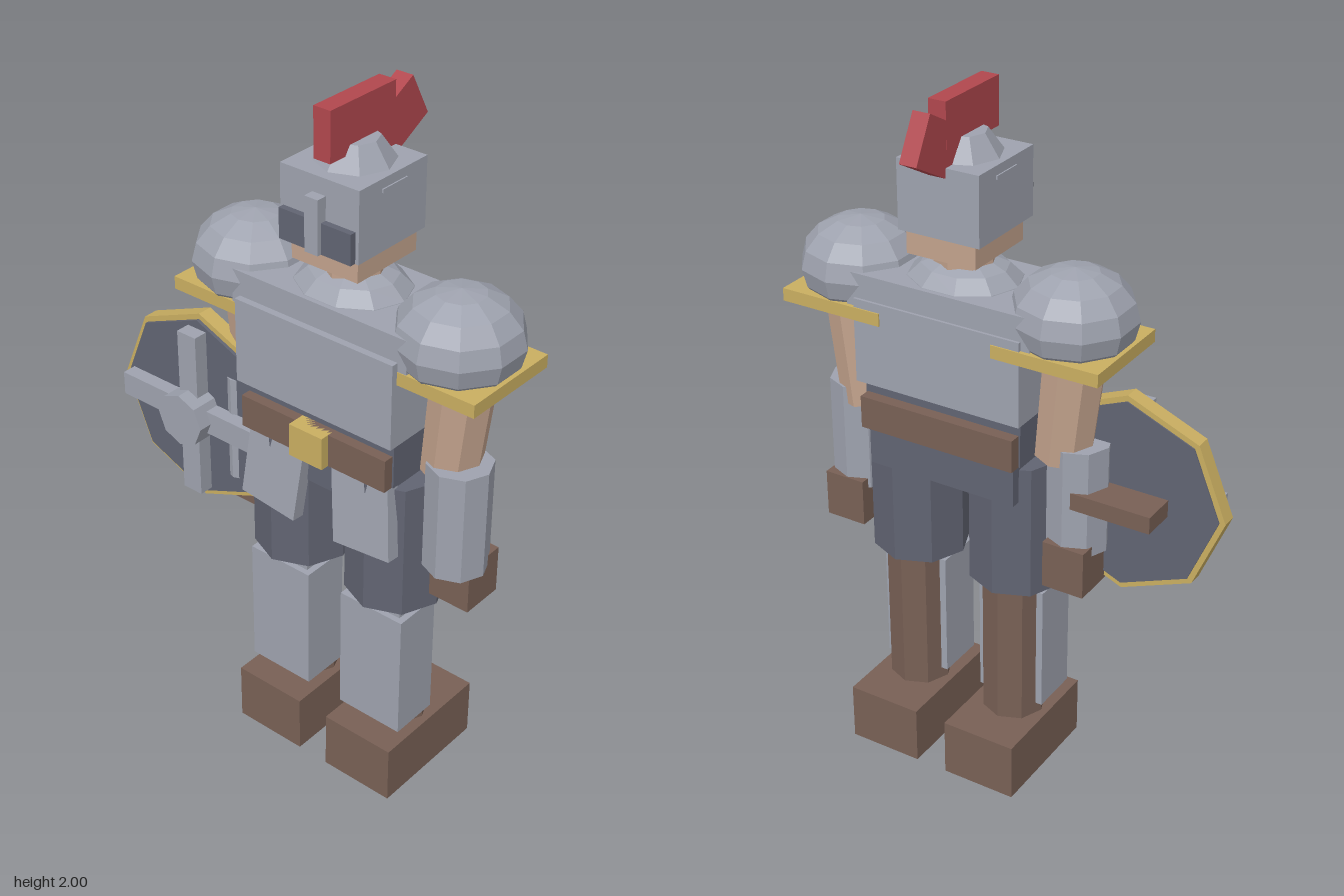
import * as THREE from 'three';

const CX = 0.134; // body axis
const mat = (color) => new THREE.MeshStandardMaterial({ color, flatShading: true });

export function createModel() {
  const root = new THREE.Group();
  const steel = mat(0x9ea2ae), dark = mat(0x616472), brown = mat(0x786055);
  const skin = mat(0xc2a28c), gold = mat(0xc9ae61), red = mat(0xb1474e);

  const add = (name, geometry, material, x, y, z, parent = root) => {
    const mesh = new THREE.Mesh(geometry, material);
    mesh.name = name;
    mesh.position.set(x, y, z);
    parent.add(mesh);
    return mesh;
  };
  // box given by its centre x, width, and y and z ranges
  const box = (name, m, x, w, y0, y1, z0, z1, parent) =>
    add(name, new THREE.BoxGeometry(w, y1 - y0, z1 - z0), m, x, (y0 + y1) / 2, (z0 + z1) / 2, parent);
  // upright faceted cylinder
  const cyl = (name, m, x, z, rTop, rBottom, y0, y1, parent, sides = 8) =>
    add(name, new THREE.CylinderGeometry(rTop, rBottom, y1 - y0, sides), m, x, (y0 + y1) / 2, z, parent);

  // torso
  box('hips', dark, CX, 0.46, 0.92, 1.05, -0.1, 0.15);
  box('waist', dark, CX, 0.49, 1.04, 1.2, -0.09, 0.17);
  box('belt', brown, CX, 0.48, 1.04, 1.135, -0.125, 0.2);
  box('buckle', gold, CX, 0.11, 1.04, 1.135, 0.15, 0.225);
  box('breastplate', steel, CX, 0.512, 1.175, 1.42, -0.118, 0.2);
  box('shoulderYoke', steel, CX, 0.565, 1.38, 1.49, -0.11, 0.18);
  const collar = add('collar', new THREE.SphereGeometry(1, 10, 8), steel, CX, 1.45, 0.035);
  collar.scale.set(0.175, 0.108, 0.15);

  // head and helmet
  cyl('neck', skin, CX, 0.035, 0.085, 0.085, 1.5, 1.58);
  box('head', skin, CX, 0.21, 1.57, 1.8, -0.08, 0.15);
  box('helmet', steel, CX, 0.246, 1.635, 1.83, -0.09, 0.17);
  cyl('helmetCrown', steel, CX, 0.035, 0.063, 0.105, 1.83, 1.89);
  box('helmetRidge', steel, CX, 0.254, 1.794, 1.804, -0.01, 0.085);
  box('visor', dark, CX, 0.226, 1.636, 1.72, 0.1, 0.188);
  box('noseGuard', steel, CX, 0.042, 1.636, 1.785, 0.1, 0.2);
  box('plume', red, CX, 0.052, 1.865, 2, -0.085, 0.16);
  const tail = box('plumeTail', red, CX, 0.051, 1.823, 1.957, -0.195, -0.025);
  tail.rotation.x = 0.5;

  // arms and legs, s = +1 is the model's left
  for (const s of [-1, 1]) {
    const side = s > 0 ? 'left' : 'right';
    const leg = new THREE.Group();
    leg.name = side + 'Leg';
    root.add(leg);
    const lx = CX + s * 0.162;
    box('foot', brown, lx, 0.226, 0, 0.175, -0.18, 0.198, leg);
    cyl('shin', brown, lx, 0.02, 0.092, 0.092, 0.17, 0.66, leg);
    box('greave', steel, lx, 0.208, 0.21, 0.595, 0, 0.147, leg);
    box('kneePlate', steel, lx, 0.17, 0.59, 0.65, 0.02, 0.13, leg);
    cyl('thigh', dark, lx, 0.04, 0.14, 0.14, 0.62, 1.02, leg);
    const tasset = box('tasset', steel, CX + s * 0.15, 0.185, 0.81, 1.045, 0.145, 0.185, leg);
    tasset.rotation.set(-0.08, 0, s * 0.1);

    const arm = new THREE.Group();
    arm.name = side + 'Arm';
    root.add(arm);
    const px = CX + s * 0.33;
    const pauldron = add('pauldron', new THREE.SphereGeometry(1, 10, 8), steel, px, 1.455, 0.033, arm);
    pauldron.scale.set(0.172, 0.135, 0.172);
    pauldron.rotation.y = Math.PI / 2;
    box('pauldronTrim', gold, px, 0.314, 1.358, 1.395, -0.122, 0.182, arm);
    const upper = cyl('upperArm', skin, CX + s * 0.331, 0.02, 0.088, 0.08, 1.05, 1.4, arm);
    upper.rotation.z = -s * 0.1;
    cyl('forearmGuard', steel, CX + s * 0.353, 0.035, 0.089, 0.089, 0.78, 1.1, arm);
    box('hand', brown, CX + s * 0.36, 0.126, 0.67, 0.81, -0.058, 0.07, arm);
  }

  // shield, built facing +z around its own centre
  const shield = new THREE.Group();
  shield.name = 'shield';
  shield.position.set(-0.343, 0.955, 0);
  root.add(shield);
  const disc = (name, m, r, z0, z1) => {
    const mesh = add(name, new THREE.CylinderGeometry(r, r, z1 - z0, 8), m, 0, 0, (z0 + z1) / 2, shield);
    mesh.rotation.x = Math.PI / 2;
  };
  const octagon = (r) => Array.from({ length: 8 }, (_, i) =>
    new THREE.Vector2(r * Math.cos(i * Math.PI / 4), r * Math.sin(i * Math.PI / 4)));
  const rim = new THREE.Shape(octagon(0.297));
  rim.holes.push(new THREE.Path(octagon(0.278)));
  add('shieldRim', new THREE.ExtrudeGeometry(rim, { depth: 0.045, bevelEnabled: false }), gold, 0, 0, 0.062, shield);
  disc('shieldFace', dark, 0.28, 0.058, 0.117);
  box('crossUpright', steel, 0, 0.066, -0.255, 0.255, 0.1, 0.16, shield);
  box('crossBar', steel, 0, 0.51, -0.035, 0.035, 0.1, 0.159, shield);
  disc('shieldBoss', steel, 0.079, 0.1, 0.2);
  box('shieldGrip', brown, 0, 0.264, -0.025, 0.025, -0.046, 0.065, shield);

  return root;
}
